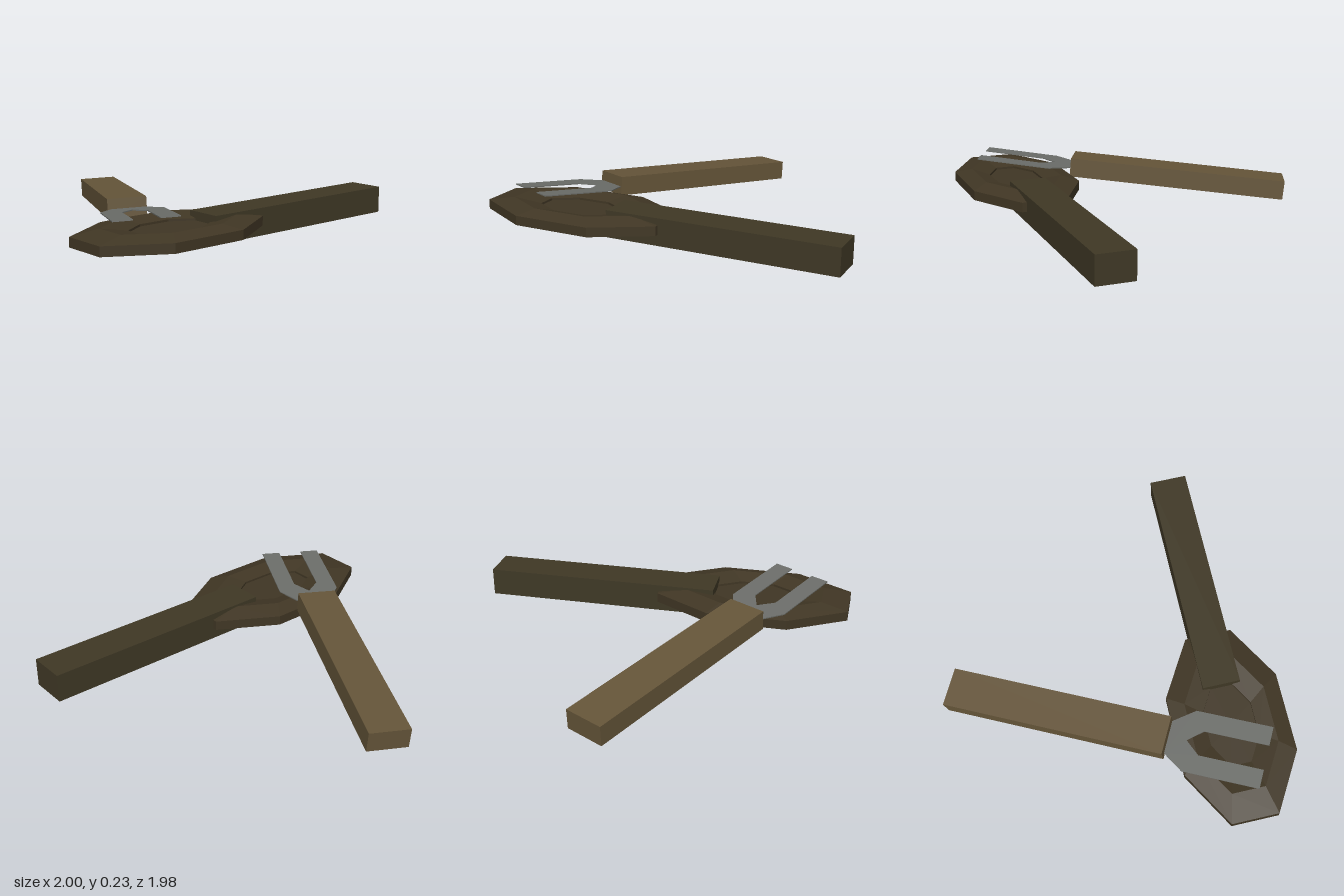
import * as THREE from 'three';

const mat = (name, color) => {
  const m = new THREE.MeshStandardMaterial({ color });
  m.name = name;
  return m;
};

// Faceted normals for low-poly parts
function faceted(geo) {
  const g = geo.index ? geo.toNonIndexed() : geo;
  g.computeVertexNormals();
  return g;
}

function part(name, geo, material, parent) {
  const mesh = new THREE.Mesh(faceted(geo), material);
  mesh.name = name;
  parent.add(mesh);
  return mesh;
}

// Places an object with local x across and local y along the given directions
function orient(obj, across, along, origin) {
  const y = along.clone().normalize();
  const z = new THREE.Vector3().crossVectors(across, y).normalize();
  const x = new THREE.Vector3().crossVectors(y, z);
  obj.quaternion.setFromRotationMatrix(new THREE.Matrix4().makeBasis(x, y, z));
  obj.position.set(...origin);
}

export function createModel() {
  const panBrown = mat('pan brown', 0x403624);
  const darkWood = mat('dark wood', 0x3f3825);
  const lightWood = mat('light wood', 0x655539);
  const steel = mat('steel grey', 0x6b6d69);

  const model = new THREE.Group();
  model.name = 'panAndFork';

  // Pan: stretched eight-sided ring with a six-sided section, floor and handle
  const pan = new THREE.Group();
  pan.name = 'pan';
  pan.position.set(-0.113, 0, 0.477);
  pan.rotation.y = 0.869;
  model.add(pan);

  const midY = 0.093;
  const section = [];
  for (let i = 0; i <= 6; i++) {
    const a = -Math.PI / 6 + (i * Math.PI) / 3;
    section.push(new THREE.Vector2(0.715 + 0.329 * Math.cos(a), 0.055 * Math.sin(a)));
  }
  const stretch = (g) => g.scale(0.601, 1, 0.351);
  const rim = new THREE.LatheGeometry(section, 8, Math.PI / 8);
  part('panRim', stretch(rim), panBrown, pan).position.y = midY;

  const floor = new THREE.CylinderGeometry(0.45, 0.45, 0.03, 8, 1, false, Math.PI / 8);
  part('panFloor', stretch(floor), panBrown, pan).position.y = midY;

  const panHandle = part('panHandle', new THREE.BoxGeometry(1.365, 0.16, 0.217), darkWood, pan);
  panHandle.position.set(0.911, 0.08, 0);

  // Fork: tilted wooden handle and a thin two-pronged head
  const fork = new THREE.Group();
  fork.name = 'fork';
  model.add(fork);

  const across = new THREE.Vector3(0.925, 0.035, -0.381);
  const forkHandle = part('forkHandle', new THREE.BoxGeometry(0.222, 1.293, 0.113), lightWood, fork);
  orient(forkHandle, across, new THREE.Vector3(0.381, 0.08, 0.925), [-0.649, 0.1135, -0.35]);

  const outline = [
    [-0.178, 0.44], [-0.178, 0], [-0.1, -0.12], [0.09, -0.12], [0.178, 0], [0.178, 0.44],
    [0.07, 0.44], [0.07, 0.07], [0, -0.015], [-0.07, 0.07], [-0.07, 0.44],
  ].map(([x, y]) => new THREE.Vector2(x, y));
  const headGeo = new THREE.ExtrudeGeometry(new THREE.Shape(outline), { depth: 0.006, bevelEnabled: false });
  headGeo.translate(0, 0, -0.003);
  const head = part('forkHead', headGeo, steel, fork);
  orient(head, across, new THREE.Vector3(0.381, 0.1, 0.925), [-0.347, 0.173, 0.355]);

  return model;
}
